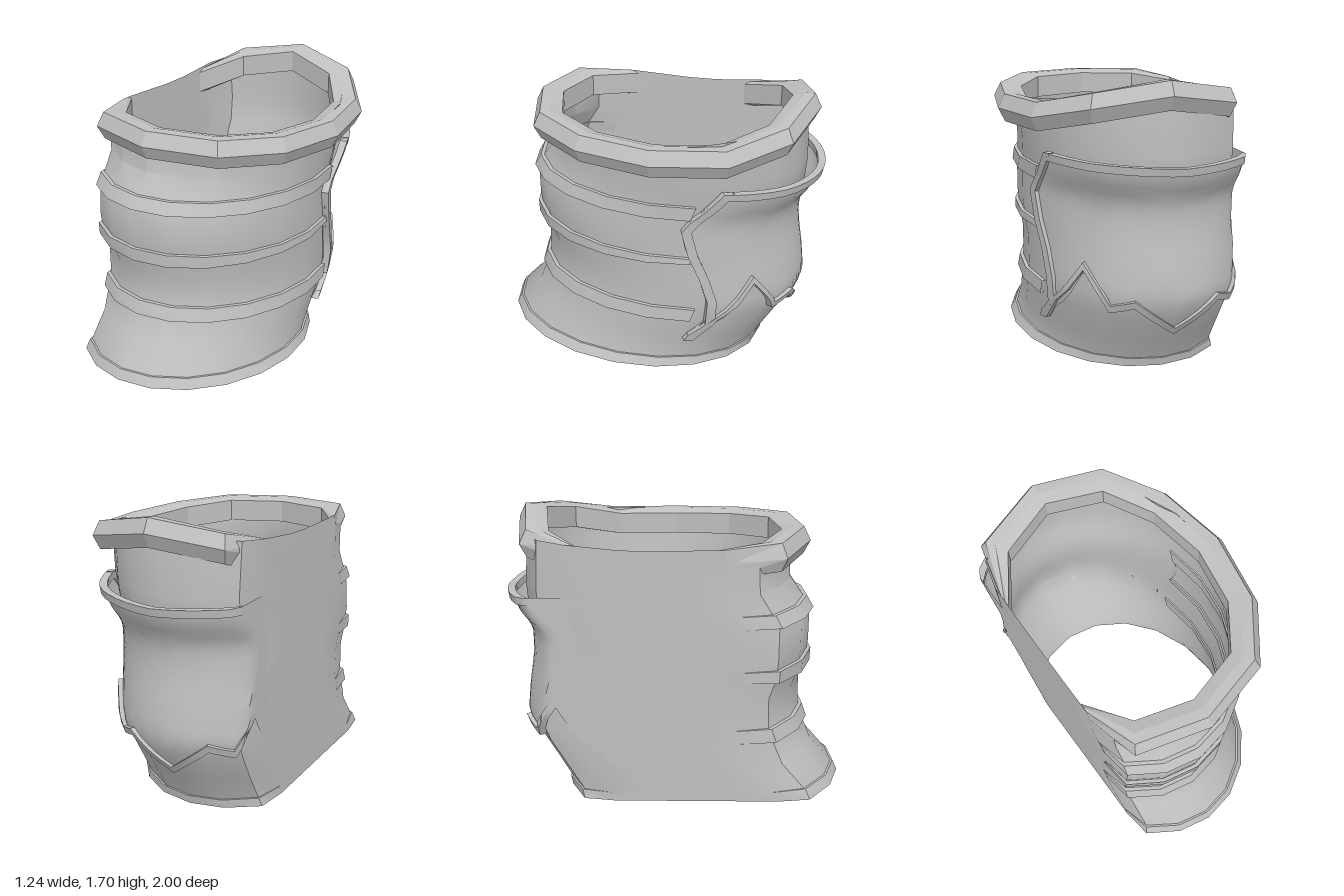
import * as THREE from 'three';
import { toCreasedNormals } from 'three/addons/utils/BufferGeometryUtils.js';

const WALL_X = -0.62; // everything is flattened against this plane
const rad = THREE.MathUtils.degToRad;
const lerp = THREE.MathUtils.lerp;

// Tilted body rings: front y, front z, back y, back z, right x
const RINGS = [
  [0.11, 0.975, 0.0, -0.63, 0.445],
  [0.17, 0.96, 0.05, -0.655, 0.43],
  [0.32, 0.825, 0.2, -0.745, 0.43],
  [0.46, 0.77, 0.37, -0.85, 0.44],
  [0.55, 0.745, 0.48, -0.895, 0.44],
  [0.72, 0.74, 0.66, -0.875, 0.44],
  [0.82, 0.775, 0.77, -0.855, 0.45],
  [0.95, 0.79, 0.88, -0.84, 0.46],
  [1.14, 0.79, 1.04, -0.845, 0.46],
  [1.22, 0.75, 1.13, -0.88, 0.465],
  [1.33, 0.67, 1.29, -0.89, 0.48],
  [1.5, 0.66, 1.6, -0.87, 0.51],
];

// Point on one ring; angle 0 is the front, 90 the right side, 180 the back
function ringPoint([yf, zf, yb, zb, xr], deg, off = 0) {
  const c = Math.cos(rad(deg)), s = Math.sin(rad(deg));
  const cx = -0.2 + 0.05 * Math.max(0, yf - 1);
  return new THREE.Vector3(
    cx + (xr - cx + off) * s,
    lerp(yb, yf, (1 + c) / 2),
    (zf + zb) / 2 + ((zf - zb) / 2 + off) * c);
}

// Point on the body at an angle and a true height, pushed outwards by off
function at(deg, y, off = 0) {
  const t = (1 + Math.cos(rad(deg))) / 2;
  const h = (r) => lerp(r[2], r[0], t);
  let i = 0;
  while (i < RINGS.length - 2 && y > h(RINGS[i + 1])) i++;
  const a = RINGS[i], b = RINGS[i + 1];
  const k = (y - h(a)) / (h(b) - h(a));
  return ringPoint(a.map((v, j) => lerp(v, b[j], k)), deg, off);
}

// Surface through rows of points, flattened at the wall plane
function loft(rows, closeRows, closeCols, crease) {
  const n = rows.length, m = rows[0].length;
  const pos = rows.flat().flatMap((p) => [Math.max(p.x, WALL_X), p.y, p.z]);
  const index = [];
  for (let i = 0; i < (closeRows ? n : n - 1); i++) {
    for (let j = 0; j < (closeCols ? m : m - 1); j++) {
      const i2 = (i + 1) % n, j2 = (j + 1) % m;
      const a = i * m + j, b = i * m + j2, c = i2 * m + j2, d = i2 * m + j;
      index.push(a, d, b, b, d, c);
    }
  }
  const g = new THREE.BufferGeometry();
  g.setAttribute('position', new THREE.Float32BufferAttribute(pos, 3));
  g.setIndex(index);
  return toCreasedNormals(g, crease);
}

const range = (from, to, n) => Array.from({ length: n + 1 }, (_, i) => lerp(from, to, i / n));

// Value on a polyline of [position, value] pairs
function along(points, t) {
  let i = 0;
  while (i < points.length - 2 && t > points[i + 1][0]) i++;
  const [a, b] = [points[i], points[i + 1]];
  return lerp(a[1], b[1], THREE.MathUtils.clamp((t - a[0]) / (b[0] - a[0]), 0, 1));
}

export function createModel() {
  const group = new THREE.Group();
  const grey = new THREE.MeshStandardMaterial({ color: 0xc0c0c0, side: THREE.DoubleSide });
  grey.name = 'grey';
  const add = (name, geometry) => {
    const mesh = new THREE.Mesh(geometry, grey);
    mesh.name = name;
    group.add(mesh);
  };

  // Tapered body with a flat side
  const turns = range(0, 342, 19);
  add('body', loft(turns.map((a) => RINGS.map((r) => ringPoint(r, a))), true, false, 0.6));

  // Bottom lip
  const lip = [[0, 0.0], [0, 0.025], [1, 0.012], [1, 0]];
  add('bottomLip', loft(turns.map((a) => lip.map(([r, off]) => ringPoint(RINGS[r], a, off))),
    true, true, 0.5));

  // Raised bands round the front: lower and upper height, and drop towards the back
  [[0.46, 0.54, 0.045, 0.045], [0.82, 0.9, 0.015, 0.05], [1.15, 1.22, 0.045, 0.035]]
    .forEach(([low, high, dropLow, dropHigh], i) => {
      const rows = range(-54, 108, 9).map((a) => {
        const d = 1 - Math.cos(rad(a));
        const y0 = low - dropLow * d, y1 = high - dropHigh * d;
        return [at(a, y0, -0.01), at(a, y0, 0.028), at(a, y1, 0.022), at(a, y1, -0.01)];
      });
      add('frontBand' + (i + 1), loft(rows, false, true, 0.5));
    });

  // Faceted top rim: crest height from front to back, then mirrored
  const crest = [1.61, 1.605, 1.58, 1.56, 1.56, 1.635, 1.7];
  const section = [[-0.17, -0.15], [-0.17, -0.02], [-0.1, 0], [-0.04, 0], [0, -0.08], [-0.04, -0.16]];
  const rim = range(0, 330, 11).map((deg, i) => {
    const s = Math.sin(rad(deg)), c = Math.cos(rad(deg));
    const y = crest[i > 6 ? 12 - i : i];
    const sx = Math.sign(s) * Math.abs(s) ** 0.8;
    return section.map(([dr, dy]) => new THREE.Vector3(
      -0.12 + (0.735 + dr) * sx, y + dy, -0.085 + (0.865 + dr) * c));
  });
  add('topRim', loft(rim, true, true, 0.25));

  // Back plate: flared at the top, zigzag at the bottom
  const plateAt = (deg, y, off) => {
    const side = Math.min(1, Math.abs(Math.min(deg, 360 - deg) - 104) / 40);
    return at(deg, y, off + 0.07 * side * THREE.MathUtils.smoothstep(y, 0.98, 1.25));
  };
  const sideEdge = [[0.25, 111], [0.38, 115], [1.02, 105], [1.28, 117]];
  const zigzag = [[111, 0.25], [117, 0.36], [134, 0.63], [147, 0.4], [158, 0.44], [180, 0.25]];
  const topEdge = (a) => lerp(1.28, 1.24, Math.min(1, (180 - Math.abs(a - 180) - 117) / 63));
  const plate = range(-1, 1, 32).map((u) => {
    const bottom = along(zigzag, 180 - Math.abs(u) * 69);
    return range(0, 1, 14).map((k) => {
      const y = lerp(bottom, topEdge(180 + u * 63), k);
      return plateAt(180 + u * (180 - along(sideEdge, y)), y, 0.014);
    });
  });
  add('backPlate', loft(plate, false, false, 0.8));

  // Raised trim along the plate edges: angle, height, inward shift in angle and height
  const bar = ([a, y, da, dy]) => [
    plateAt(a, y, -0.005), plateAt(a, y, 0.04),
    plateAt(a + da, y + dy, 0.04), plateAt(a + da, y + dy, 0.005)];
  const fine = (pts) => pts.flatMap((p, i) => i === pts.length - 1 ? [p]
    : range(0, 0.75, 3).map((t) => p.map((v, j) => lerp(v, pts[i + 1][j], t))));
  const mirror = ([a, y, da, dy]) => [360 - a, y, -da, dy];
  const trims = [
    ['plateSideTrim', fine(sideEdge.map(([y, a]) => [a, y, 4, 0]))],
    ['plateZigzagTrim', fine(zigzag.map(([a, y]) => [a, y, 0, 0.045]))],
    ['plateTopTrim', range(117, 180, 10).map((a) => [a, topEdge(a), 0, -0.045])],
  ];
  for (const [name, path] of trims) {
    add(name + 'Right', loft(path.map(bar), false, true, 0.5));
    add(name + 'Left', loft(path.map(mirror).map(bar), false, true, 0.5));
  }
  return group;
}
